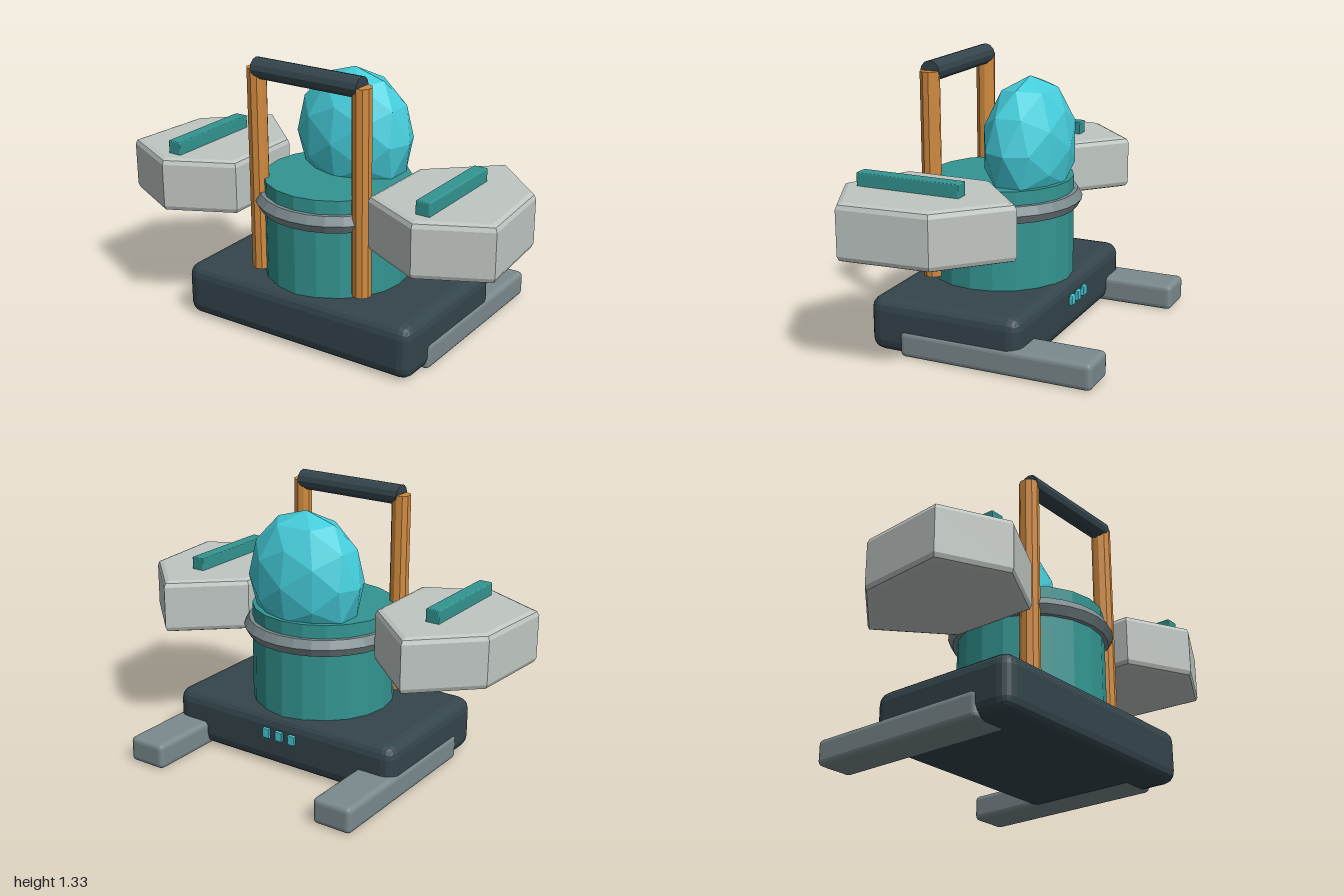
import * as THREE from 'three';
import { RoundedBoxGeometry } from 'three/addons/geometries/RoundedBoxGeometry.js';

const material = (name, color) => {
  const m = new THREE.MeshStandardMaterial({ color, flatShading: true });
  m.name = name;
  return m;
};

export function createModel() {
  const model = new THREE.Group();
  model.name = 'machine';
  const charcoal = material('charcoal', 0x34454c);
  const steel = material('steel grey', 0x7b8a8e);
  const teal = material('teal', 0x339592);
  const orange = material('orange', 0xd18b40);
  const cyan = material('cyan', 0x45cddb);
  const pale = material('pale grey', 0xc0c7c3);

  const add = (name, geometry, mat, x, y, z) => {
    const mesh = new THREE.Mesh(geometry, mat);
    mesh.name = name;
    mesh.position.set(x, y, z);
    model.add(mesh);
    return mesh;
  };
  const rounded = (w, h, d, r) => new RoundedBoxGeometry(w, h, d, 2, r);

  // Chassis and central drum
  add('base', rounded(1.27, 0.265, 0.765, 0.06), charcoal, 0, 0.137, 0.132);
  add('drum', new THREE.CylinderGeometry(0.35, 0.35, 0.55, 20), teal, 0, 0.475, 0.13);
  const ring = add('drumRing', new THREE.TorusGeometry(0.345, 0.047, 6, 28), steel, 0, 0.643, 0.13);
  ring.rotation.x = Math.PI / 2;

  // Faceted dome
  const dome = add('dome', new THREE.IcosahedronGeometry(1, 1), cyan, 0, 0.91, -0.02);
  dome.scale.set(0.305, 0.33, 0.208);

  // Bevelled pod outline, drawn as x and -z, inset by the bevel
  const bevel = 0.028;
  const outline = [[0.68, -0.232], [0.938, 0.015], [0.969, 0.415],
    [0.683, 0.558], [0.397, 0.415], [0.4, 0.02]];

  for (const side of [1, -1]) {
    const name = side > 0 ? 'left' : 'right';
    const points = outline.map(([x, z]) => new THREE.Vector2(side * x, -z));
    const pod = new THREE.ExtrudeGeometry(new THREE.Shape(points), {
      depth: 0.265 - 2 * bevel, bevelSize: bevel, bevelThickness: bevel, bevelSegments: 2,
    });
    pod.rotateX(-Math.PI / 2);
    add(name + 'Pod', pod, pale, 0, 0.557 + bevel, 0);
    add(name + 'PodFin', rounded(0.07, 0.075, 0.51, 0.006), teal, side * 0.683, 0.847, 0.245);

    // Rear skids and handle posts
    add(name + 'Skid', rounded(0.2, 0.127, 0.95, 0.024), steel, side * 0.542, 0.0635, -0.125);
    add(name + 'Post', new THREE.CylinderGeometry(0.047, 0.047, 0.99, 10), orange, side * 0.287, 0.785, 0.357);
  }

  // Handle bar
  const bar = add('handleBar', new THREE.CylinderGeometry(0.05, 0.05, 0.575, 12), charcoal, 0, 1.277, 0.357);
  bar.rotation.z = Math.PI / 2;

  // Indicator lights behind the base
  for (let i = -1; i <= 1; i++) {
    add('rearLight', rounded(0.04, 0.05, 0.018, 0.004), cyan, -0.016 + i * 0.074, 0.18, -0.269);
  }
  return model;
}
